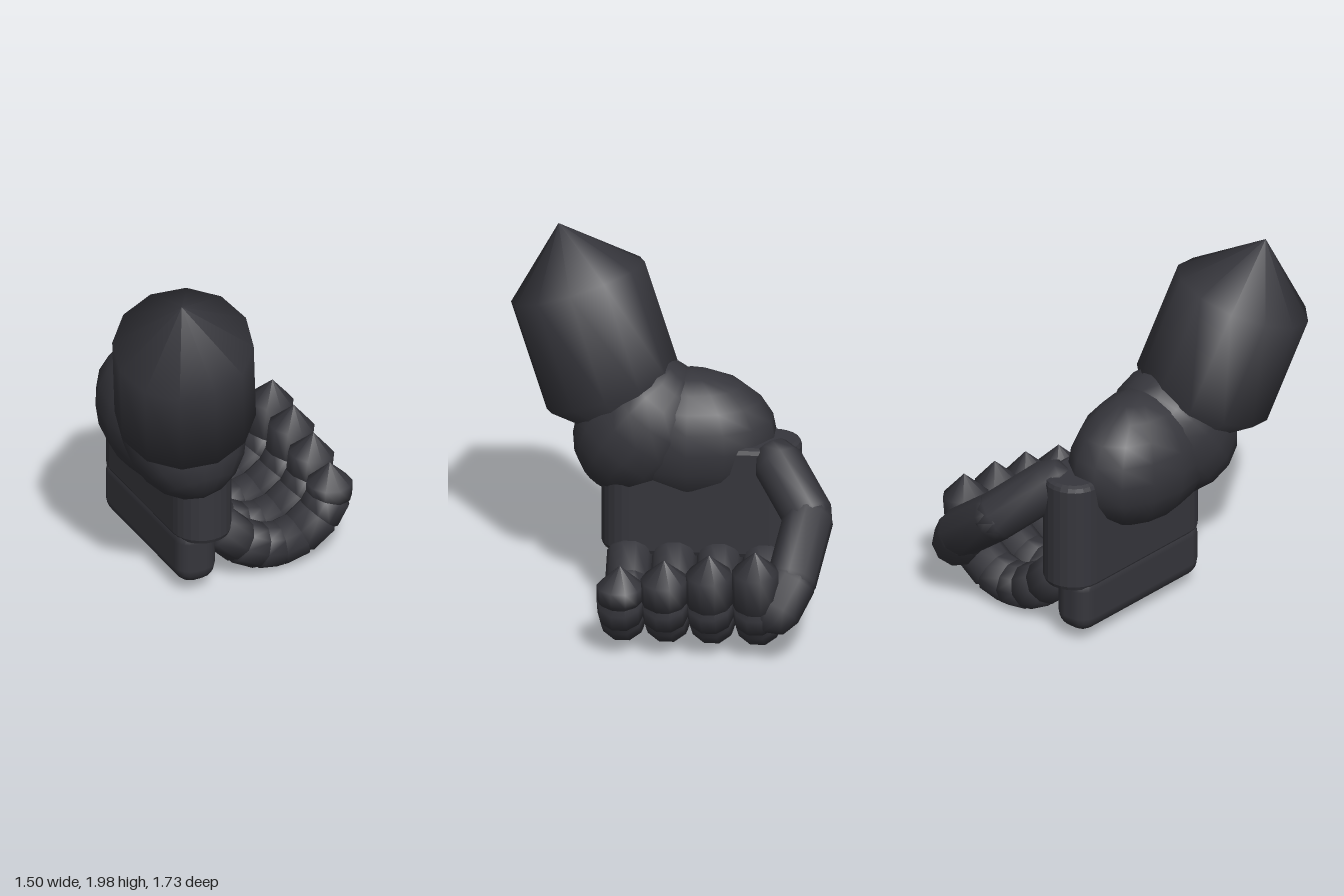
import * as THREE from 'three';
import { RoundedBoxGeometry } from 'three/addons/geometries/RoundedBoxGeometry.js';

const darkGrey = new THREE.MeshStandardMaterial({ color: 0x36363c });
darkGrey.name = 'darkGrey';
const V = (x, y, z) => new THREE.Vector3(x, y, z);
const UP = V(0, 1, 0);

function add(parent, name, geometry) {
  const mesh = new THREE.Mesh(geometry, darkGrey);
  mesh.name = name;
  parent.add(mesh);
  return mesh;
}

// Low-poly capsule from a to b; caps are plain cones, or rounded in two steps
function limb(parent, name, a, b, r, { cap = r, sides = 10, round = false } = {}) {
  const h = a.distanceTo(b) / 2;
  const k = Math.SQRT1_2;
  const half = round ? [[0, h + cap], [r * k, h + cap * k], [r, h]] : [[0, h + cap], [r, h]];
  const profile = [
    ...half.map(([x, y]) => new THREE.Vector2(x, -y)),
    ...half.reverse().map(([x, y]) => new THREE.Vector2(x, y)),
  ];
  const mesh = add(parent, name, new THREE.LatheGeometry(profile, sides));
  mesh.position.copy(a).add(b).multiplyScalar(0.5);
  mesh.quaternion.setFromUnitVectors(UP, b.clone().sub(a).normalize());
  return mesh;
}

// Chain of capsules through a list of points
function chain(parent, name, points, r, options) {
  const group = new THREE.Group();
  group.name = name;
  for (let i = 0; i < points.length - 1; i++) {
    limb(group, name + 'Segment' + (i + 1), points[i], points[i + 1], r, options);
  }
  parent.add(group);
}

function ellipsoid(parent, name, center, radii, tilt = 0) {
  const mesh = add(parent, name, new THREE.SphereGeometry(1, 14, 10));
  mesh.position.copy(center);
  mesh.scale.copy(radii);
  mesh.rotation.x = tilt;
}

export function createModel() {
  const hand = new THREE.Group();
  hand.name = 'hand';

  // Forearm, wrist and heel of the hand
  limb(hand, 'forearm', V(-0.285, 1.15, 0.33), V(-0.398, 1.7, 0.525), 0.368, { cap: 0.325, sides: 12 });
  ellipsoid(hand, 'wrist', V(-0.22, 0.98, 0.18), V(0.325, 0.395, 0.335), -0.64);
  ellipsoid(hand, 'heelOfHand', V(-0.223, 0.93, -0.08), V(0.305, 0.365, 0.455));

  // Palm: upright slab with fully rounded ends
  const bevel = 0.03, r = 0.16 - bevel, zBack = -0.505, zFront = 0.22;
  const outline = new THREE.Shape();
  outline.absarc(0, -zBack, r, 0, Math.PI, false);
  outline.absarc(0, -zFront, r, Math.PI, Math.PI * 2, false);
  const palmGeometry = new THREE.ExtrudeGeometry(outline, {
    depth: 0.56, bevelEnabled: true, bevelThickness: bevel, bevelSize: bevel, bevelSegments: 2, curveSegments: 6,
  });
  palmGeometry.rotateX(-Math.PI / 2);
  add(hand, 'palm', palmGeometry).position.set(-0.14, 0.37, 0);

  // Knuckle bar under the palm
  add(hand, 'knuckleBar', new RoundedBoxGeometry(0.225, 0.34, 0.94, 2, 0.09)).position.set(-0.19, 0.25, -0.14);

  // Four curled fingers, each reaching a little higher than the last
  const curl = [[-0.04, 0.34], [0.08, 0.22], [0.2, 0.155], [0.31, 0.137], [0.43, 0.165], [0.55, 0.25]];
  const fingers = [
    ['littleFinger', 0.22, 0.43, 0.612],
    ['ringFinger', -0.012, 0.48, 0.625],
    ['middleFinger', -0.247, 0.52, 0.63],
    ['indexFinger', -0.487, 0.545, 0.63],
  ];
  for (const [name, z, tipY, tipX] of fingers) {
    const points = curl.map(([x, y]) => V(x, y, z));
    points.push(V(0.61, 0.35, z), V(tipX, tipY, z));
    chain(hand, name, points, 0.122, { cap: 0.115 });
  }

  // Thumb reaching round the back to the index finger
  chain(hand, 'thumb', [
    V(-0.02, 0.88, -0.55), V(0.2, 0.675, -0.73), V(0.5, 0.44, -0.665), V(0.6, 0.31, -0.59),
  ], 0.132, { cap: 0.125, round: true });

  return hand;
}
